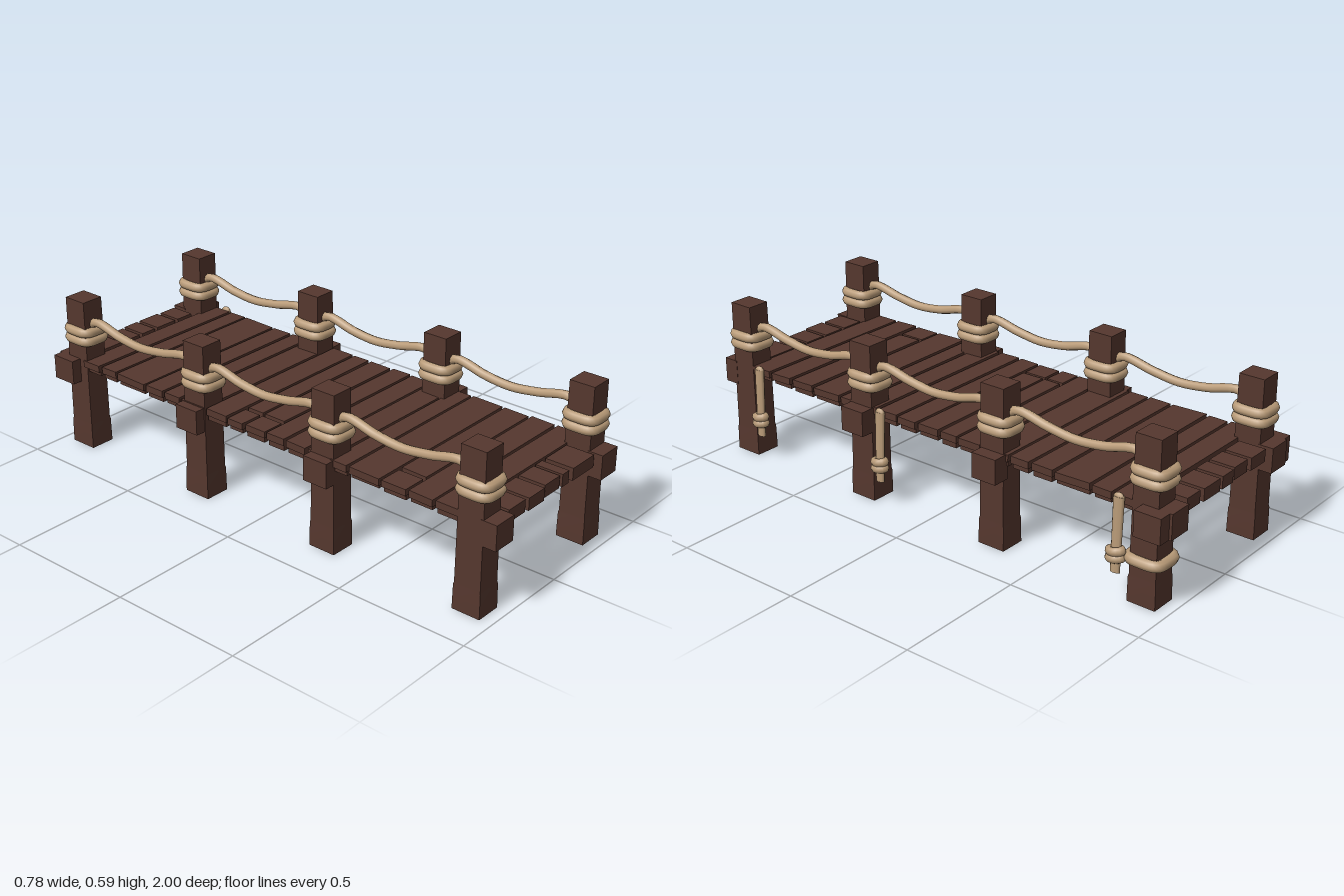
import * as THREE from 'three';

const wood = new THREE.MeshStandardMaterial({ color: 0x55372e });
wood.name = 'dark wood';
const hemp = new THREE.MeshStandardMaterial({ color: 0xb99b78 });
hemp.name = 'hemp rope';

const POST_X = [-0.306, 0.295];
const POST_Z = [0.9, 0.3, -0.29, -0.9];

let seed = 7;
const rand = () => (seed = (seed * 16807) % 2147483647) / 2147483647;
const vary = (a) => (rand() * 2 - 1) * a;

function add(parent, name, geometry, material) {
  const mesh = new THREE.Mesh(geometry, material);
  mesh.name = name;
  parent.add(mesh);
  return mesh;
}

// Box given by its limits on each axis
function block(parent, name, x0, x1, y0, y1, z0, z1) {
  const mesh = add(parent, name, new THREE.BoxGeometry(x1 - x0, y1 - y0, z1 - z0), wood);
  mesh.position.set((x0 + x1) / 2, (y0 + y1) / 2, (z0 + z1) / 2);
  return mesh;
}

// Square post: stout foot, slight taper to the top
function post(parent, x, z) {
  const levels = [[0, 0.049], [0.09, 0.048], [0.1, 0.046], [0.59, 0.0435]];
  const g = new THREE.BoxGeometry(2, 3, 2, 1, 3, 1);
  const p = g.attributes.position;
  for (let i = 0; i < p.count; i++) {
    const [y, half] = levels[Math.round(p.getY(i) + 1.5)];
    p.setXYZ(i, p.getX(i) * half, y, p.getZ(i) * half * 1.1);
  }
  g.computeVertexNormals();
  add(parent, 'post', g, wood).position.set(x, 0, z);
}

// Rope loop following a rounded square
function ropeLoop(parent, name, x, y, z, hx, hz, r) {
  const pts = [];
  for (let i = 0; i < 32; i++) {
    const a = (i / 32) * Math.PI * 2, c = Math.cos(a), s = Math.sin(a);
    pts.push(new THREE.Vector3(
      Math.sign(c) * Math.sqrt(Math.abs(c)) * hx, 0,
      Math.sign(s) * Math.sqrt(Math.abs(s)) * hz));
  }
  const curve = new THREE.CatmullRomCurve3(pts, true);
  add(parent, name, new THREE.TubeGeometry(curve, 48, r, 8, true), hemp).position.set(x, y, z);
}

function rope(parent, name, points, r) {
  const curve = new THREE.CatmullRomCurve3(points.map((p) => new THREE.Vector3(...p)));
  return add(parent, name, new THREE.TubeGeometry(curve, 24, r, 8), hemp);
}

// Loose rope end with a knot, hanging from the deck edge
function hangingRope(parent, z) {
  const g = new THREE.Group();
  g.name = 'hangingRope';
  g.position.set(0.35, 0, z);
  parent.add(g);
  const strand = new THREE.CylinderGeometry(0.022, 0.019, 0.265, 8);
  const s = add(g, 'strand', strand, hemp);
  s.scale.x = 0.55;
  s.position.y = 0.228;
  s.rotation.z = 0.03;
  const tip = add(g, 'strandTop', new THREE.SphereGeometry(0.022, 8, 6), hemp);
  tip.scale.x = 0.55;
  tip.position.set(-0.004, 0.352, 0);
  for (const y of [0.148, 0.173]) {
    const knot = add(g, 'knot', new THREE.TorusGeometry(0.022, 0.016, 8, 14), hemp);
    knot.rotation.x = Math.PI / 2 + 0.15;
    knot.scale.x = 0.7;
    knot.position.set(0.005, y, 0);
  }
}

export function createModel() {
  const model = new THREE.Group();
  model.name = 'dock';
  const deck = new THREE.Group();
  deck.name = 'deck';
  model.add(deck);

  // Cross planks, each over a row of short boards
  const seams = [-0.87, -0.775, -0.69, -0.54, -0.445, -0.36, -0.24, -0.135, -0.055,
    0.045, 0.135, 0.23, 0.33, 0.41, 0.545, 0.655, 0.76, 0.865];
  for (let i = 0; i < seams.length - 1; i++) {
    const z0 = seams[i] + 0.006, z1 = seams[i + 1] - 0.006;
    const split = i === 7 || i === 8 || i === 14;
    const left = -0.352 + vary(0.004), right = 0.335 + vary(0.004);
    const plank = block(deck, 'plank', split ? -0.247 : left, right, 0.334, 0.36, z0, z1);
    plank.rotation.set(vary(0.03), vary(0.006), 0);
    if (split) block(deck, 'plankEnd', left, -0.262, 0.334, 0.358, z0, z1);
    const cols = [-0.35, -0.255, -0.152, -0.05, 0.045, 0.143, 0.24, 0.333];
    for (let k = 0; k < cols.length - 1; k++) {
      block(deck, 'underBoard', cols[k] + 0.006, cols[k + 1] - 0.006,
        0.315 + vary(0.003), 0.337, z0 + 0.004, z1 - 0.004);
    }
  }

  // Short boards closing both ends
  const frontEnds = [[-0.25, -0.16], [-0.147, -0.06], [-0.045, 0.04], [0.052, 0.09], [0.11, 0.235]];
  const backEnds = [[-0.24, -0.15], [-0.135, -0.055], [-0.04, 0.025], [0.04, 0.135], [0.15, 0.225]];
  for (const [a, b] of frontEnds) block(deck, 'endBoard', a, b, 0.314, 0.36, 0.868, 0.975 + vary(0.006));
  for (const [a, b] of backEnds) block(deck, 'endBoard', a, b, 0.314, 0.36, -0.98 + vary(0.006), -0.882);

  POST_X.forEach((x, side) => {
    const s = side ? 1 : -1;
    const outer = (name, z0, z1) => side
      ? block(model, name, 0.325, 0.39, 0.266, 0.358, z0, z1)
      : block(model, name, -0.39, -0.335, 0.266, 0.358, z0, z1);

    POST_Z.forEach((z, i) => {
      post(model, x, z);
      // Two turns of rope around each post
      for (const y of [0.433, 0.468]) ropeLoop(model, 'postCoil', x - 0.003 * s, y, z, 0.048, 0.054, 0.019);
      // Rope sagging to the next post
      if (i < 3) {
        const n = POST_Z[i + 1], d = n - z, rx = x - 0.003;
        rope(model, 'railRope', [
          [rx, 0.475, z + d * 0.03], [rx, 0.507, z + d * 0.11], [rx, 0.485, z + d * 0.32],
          [rx, 0.472, z + d * 0.5], [rx, 0.482, z + d * 0.68], [rx, 0.507, z + d * 0.89],
          [rx, 0.475, z + d * 0.97]], 0.0165);
      }
    });

    // Bracing blocks on the outside of the posts
    outer('sideBrace', 0.25, 0.35);
    outer('sideBrace', -0.345, -0.245);
    outer('sideBrace', -0.99, -0.89);
    block(model, 'endBrace', x - 0.046, x + 0.046, 0.266, 0.358, 0.94, 1);
    block(model, 'endBrace', x - 0.046, x + 0.046, 0.266, 0.358, -1, -0.94);
  });

  // Loose ropes on the left side and a low loop on the back post
  for (const z of [0.81, 0.205, -0.805]) hangingRope(model, z);
  ropeLoop(model, 'lowLoop', 0.293, 0.158, -0.9, 0.055, 0.06, 0.02);

  return model;
}
